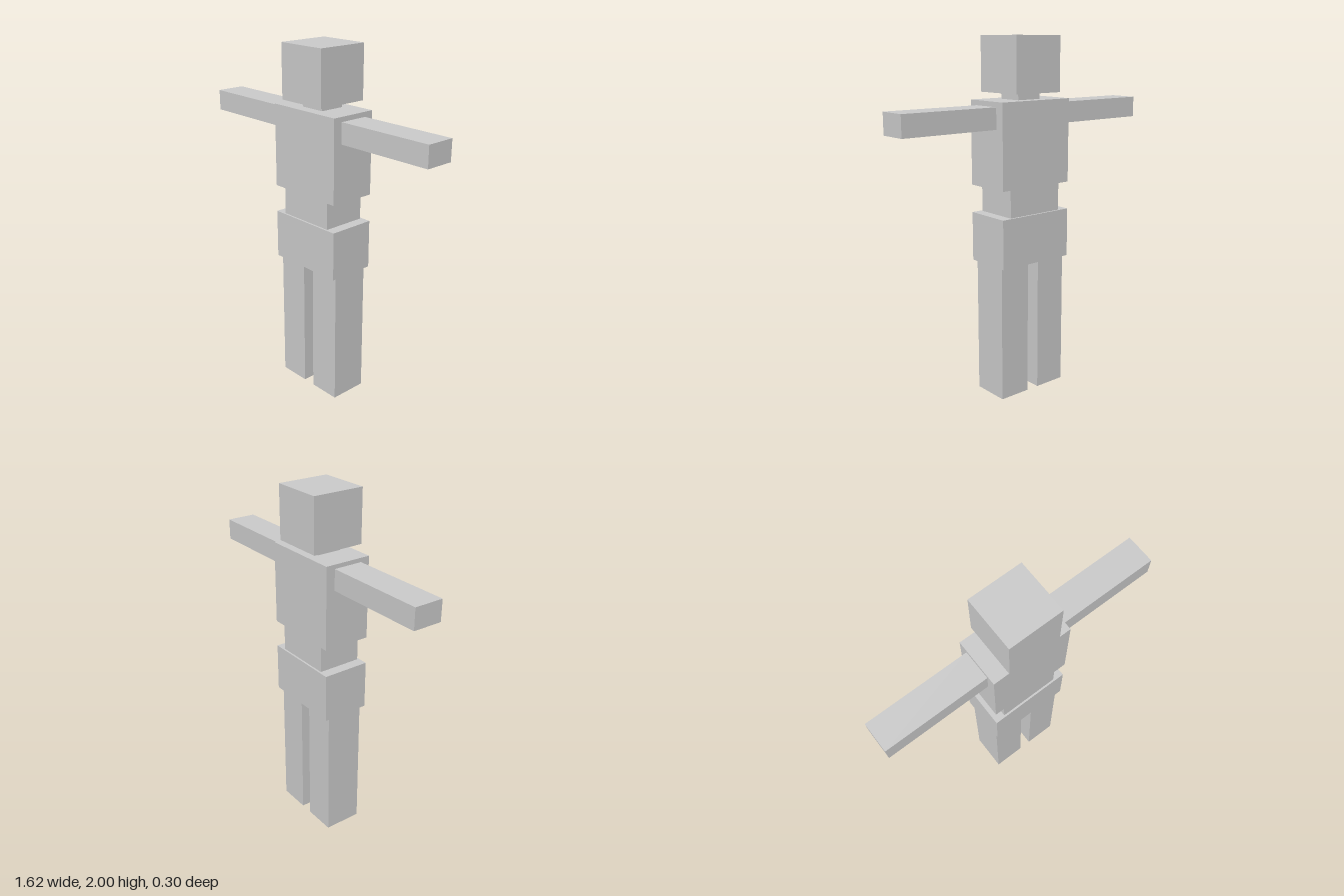
import * as THREE from 'three';

export function createModel() {
  const model = new THREE.Group();
  model.name = 'blockFigure';
  const material = new THREE.MeshStandardMaterial({ color: 0xcccccc, flatShading: true });

  // Box given by its x range, y range and depth, centred on z = 0
  const block = (name, x0, x1, y0, y1, depth) => {
    const mesh = new THREE.Mesh(new THREE.BoxGeometry(x1 - x0, y1 - y0, depth), material);
    mesh.position.set((x0 + x1) / 2, (y0 + y1) / 2, 0);
    mesh.name = name;
    model.add(mesh);
  };

  // Trunk and head share an axis slightly off centre
  const axis = 0.009;
  const central = (name, width, y0, y1, depth) =>
    block(name, axis - width / 2, axis + width / 2, y0, y1, depth);

  central('head', 0.303, 1.7, 2, 0.301);
  central('neck', 0.15, 1.66, 1.7, 0.144);
  central('chest', 0.466, 1.198, 1.663, 0.272);
  central('waist', 0.344, 1.043, 1.198, 0.25);
  central('pelvis', 0.466, 0.768, 1.043, 0.272);

  // Arms held straight out to the sides
  block('rightArm', -0.812, -0.224, 1.523, 1.64, 0.167);
  block('leftArm', 0.242, 0.812, 1.519, 1.636, 0.167);

  // Legs
  for (const [name, side] of [['rightLeg', -1], ['leftLeg', 1]]) {
    const x = axis + side * 0.13;
    block(name, x - 0.093, x + 0.093, 0, 0.768, 0.217);
  }

  return model;
}
